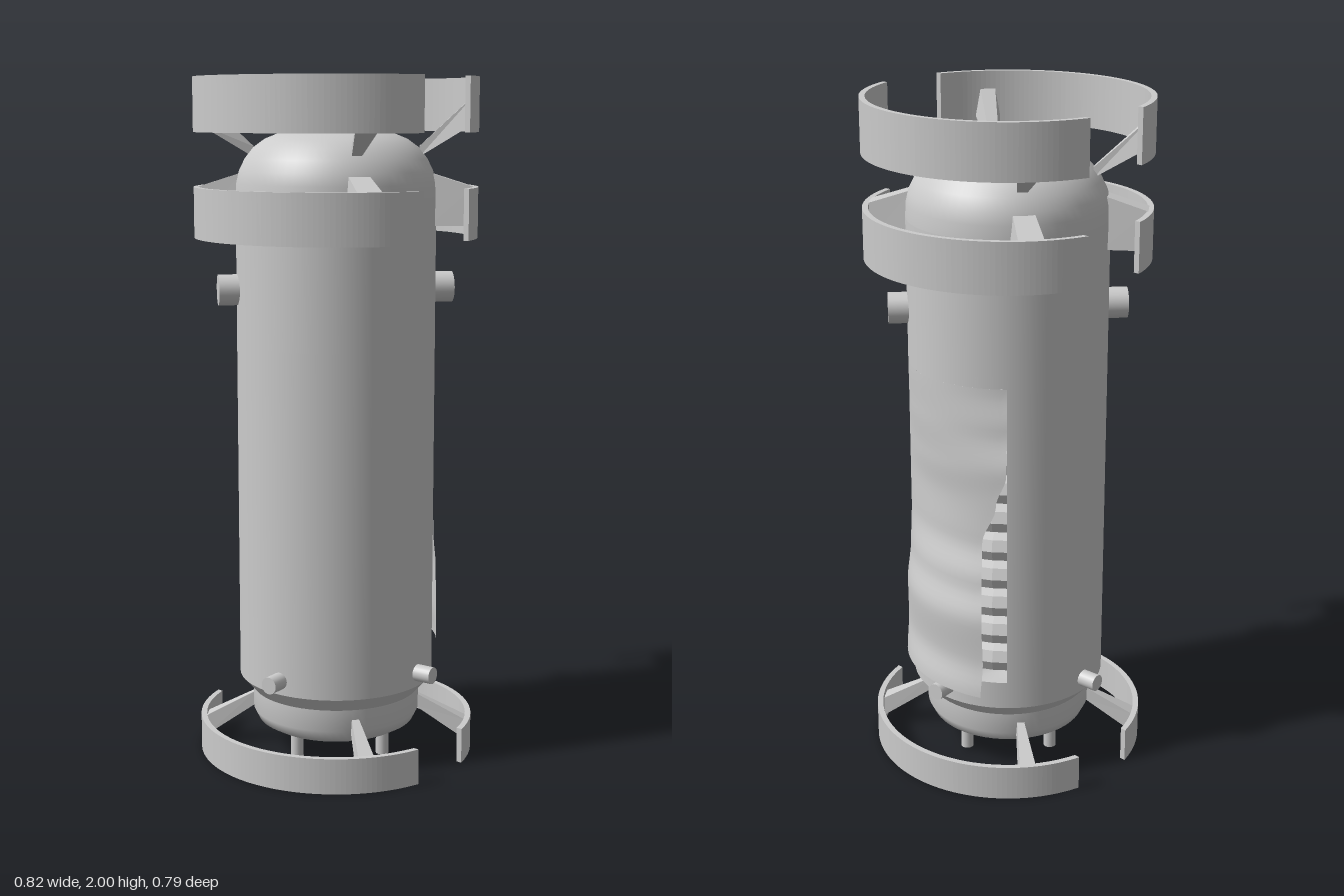
import * as THREE from 'three';

const R = 0.29, DEG = Math.PI / 180;
const HOLE_START = 43.6 * DEG, HOLE_END = 133.6 * DEG; // measured from +z towards +x
const HOLE_LOW = 0.32, HOLE_TOP = 1.24;

const smooth = new THREE.MeshStandardMaterial({ color: 0xcccccc, side: THREE.DoubleSide });
const flat = new THREE.MeshStandardMaterial({ color: 0xcccccc, flatShading: true });

function add(parent, name, geometry, material = smooth) {
  const mesh = new THREE.Mesh(geometry, material);
  mesh.name = name;
  parent.add(mesh);
  return mesh;
}

function lathe(points, segments = 64, start = HOLE_START, length = Math.PI * 2) {
  return new THREE.LatheGeometry(points.map(p => new THREE.Vector2(p[0], p[1])), segments, start, length);
}

// One of the two curved guard bands, centred on +x or -x
function guardGeometry(y, height, side) {
  const outer = 0.41, inner = 0.393;
  const a = Math.acos(0.105 / outer), b = Math.acos(0.105 / inner);
  const shape = new THREE.Shape();
  shape.absarc(0, 0, outer, -a, a, false);
  shape.absarc(0, 0, inner, b, -b, true);
  shape.closePath();
  const g = new THREE.ExtrudeGeometry(shape, { depth: height, bevelEnabled: false, curveSegments: 36 });
  g.rotateX(-Math.PI / 2);
  if (side < 0) g.rotateY(Math.PI);
  return g.translate(0, y, 0);
}

// Tapered bar running outward along +z between two radii
// inner and outer: [radius, low y, high y, low width, high width]
function taperedBar(inner, outer) {
  const g = new THREE.BoxGeometry(1, 1, 1), p = g.attributes.position;
  for (let i = 0; i < p.count; i++) {
    const e = p.getZ(i) > 0 ? outer : inner, high = p.getY(i) > 0;
    p.setXYZ(i, p.getX(i) * (high ? e[4] : e[3]), high ? e[2] : e[1], e[0]);
  }
  g.computeVertexNormals();
  return g;
}

// Torn panel, row by row: y, back edge x, back edge z, middle radius, front edge radius
const flapRows = [
  [0.32, 0.325, -0.205, 0.34, 0.305],
  [0.42, 0.31, -0.2, 0.322, 0.305],
  [0.55, 0.315, -0.2, 0.33, 0.302],
  [0.66, 0.293, -0.18, 0.305, 0.294],
  [0.78, 0.27, -0.16, 0.28, R],
  [0.9, 0.255, -0.2, 0.277, R],
  [1.0, 0.243, -0.23, 0.285, R],
  [1.12, 0.225, -0.215, 0.289, R],
  [1.24, 0.21, -0.2, R, R],
];

function flapRow(y) {
  let i = 0;
  while (i < flapRows.length - 2 && y > flapRows[i + 1][0]) i++;
  const a = flapRows[i], b = flapRows[i + 1];
  const t = THREE.MathUtils.smoothstep(y, a[0], b[0]);
  return a.map((v, k) => THREE.MathUtils.lerp(v, b[k], t));
}

function flapGeometry() {
  const g = new THREE.PlaneGeometry(1, 1, 24, 48), p = g.attributes.position;
  for (let i = 0; i < p.count; i++) {
    const u = p.getX(i) + 0.5;
    const y = HOLE_LOW + (p.getY(i) + 0.5) * (HOLE_TOP - HOLE_LOW);
    const [, bx, bz, mid, front] = flapRow(y);
    const back = Math.hypot(bx, bz);
    const phi = THREE.MathUtils.lerp(HOLE_START, Math.atan2(bx, bz), u);
    const r = front * (1 - u) * (1 - 2 * u) + mid * 4 * u * (1 - u) + back * u * (2 * u - 1);
    p.setXYZ(i, r * Math.sin(phi), y, r * Math.cos(phi));
  }
  g.computeVertexNormals();
  return g;
}

export function createModel() {
  const model = new THREE.Group();
  model.name = 'damagedTank';

  // Tank shell, with an opening in the wall on the +x side
  const tank = new THREE.Group();
  tank.name = 'tank';
  model.add(tank);
  add(tank, 'tankBase', lathe([[0, 0.07], [0.17, 0.071], [0.205, 0.078], [0.235, 0.095], [0.25, 0.125], [0.25, 0.19]]));
  add(tank, 'baseTaper', lathe([[0.25, 0.19], [R, 0.235]]));
  add(tank, 'lowerWall', lathe([[R, 0.235], [R, HOLE_LOW]]));
  add(tank, 'openWall', lathe([[R, HOLE_LOW], [R, HOLE_TOP]], 48, HOLE_END, Math.PI * 1.5));
  add(tank, 'upperWall', lathe([[R, HOLE_TOP], [R, 1.66]]));
  add(tank, 'tankDome', lathe([[R, 1.66], [0.288, 1.7], [0.28, 1.735], [0.263, 1.77], [0.238, 1.802],
    [0.205, 1.826], [0.16, 1.844], [0.08, 1.857], [0, 1.86]]));
  add(tank, 'tornPanel', flapGeometry());

  // Stacked coils behind the opening
  const coils = new THREE.Group();
  coils.name = 'innerCoils';
  model.add(coils);
  for (let y = 0.37; y < 1.25; y += 0.09) {
    const g = new THREE.TorusGeometry(0.215, 0.045, 8, 32).rotateX(Math.PI / 2);
    add(coils, 'coil', g, flat).position.y = y;
  }

  // Guard bands at the foot, shoulder and top
  for (const [name, y, h] of [['footGuard', 0, 0.105], ['shoulderGuard', 1.545, 0.145], ['topGuard', 1.845, 0.155]]) {
    for (const side of [1, -1]) add(model, name, guardGeometry(y, h, side), flat);
  }

  // Struts carrying the guards, mirrored to four corners
  const struts = [
    ['topStrut', [0.24, 1.775, 1.805, 0.025, 0.025], [0.396, 1.87, 1.95, 0.075, 0.045]],
    ['shoulderBracket', [0.27, 1.58, 1.73, 0.095, 0.06], [0.396, 1.58, 1.69, 0.095, 0.07]],
    ['footStrut', [0.24, 0.125, 0.165, 0.025, 0.02], [0.396, 0.025, 0.085, 0.06, 0.05]],
  ];
  const corner = 37 * DEG;
  for (const [name, inner, outer] of struts) {
    for (const angle of [corner, -corner, Math.PI - corner, Math.PI + corner]) {
      add(model, name, taperedBar(inner, outer), flat).rotation.y = angle;
    }
  }

  // Pipe stubs pointing outward from the wall
  const stub = (name, radius, end, y, angle) => {
    const g = new THREE.CylinderGeometry(radius, radius, end - 0.26, 24);
    g.rotateX(Math.PI / 2).translate(0, 0, (end + 0.26) / 2);
    const mesh = add(model, name, g);
    mesh.position.y = y;
    mesh.rotation.y = angle;
  };
  for (const turn of [0, Math.PI]) stub('upperStub', 0.045, 0.345, 1.395, 49 * DEG + turn);
  for (let i = 0; i < 4; i++) stub('lowerStub', 0.025, 0.343, 0.277, 5.5 * DEG + i * Math.PI / 2);

  // Short drain pipes under the base
  for (let i = 0; i < 4; i++) {
    const a = i * Math.PI / 2;
    const pipe = add(model, 'drainPipe', new THREE.CylinderGeometry(0.019, 0.019, 0.075, 20));
    pipe.position.set(0.18 * Math.sin(a), 0.048, 0.18 * Math.cos(a));
  }
  return model;
}
